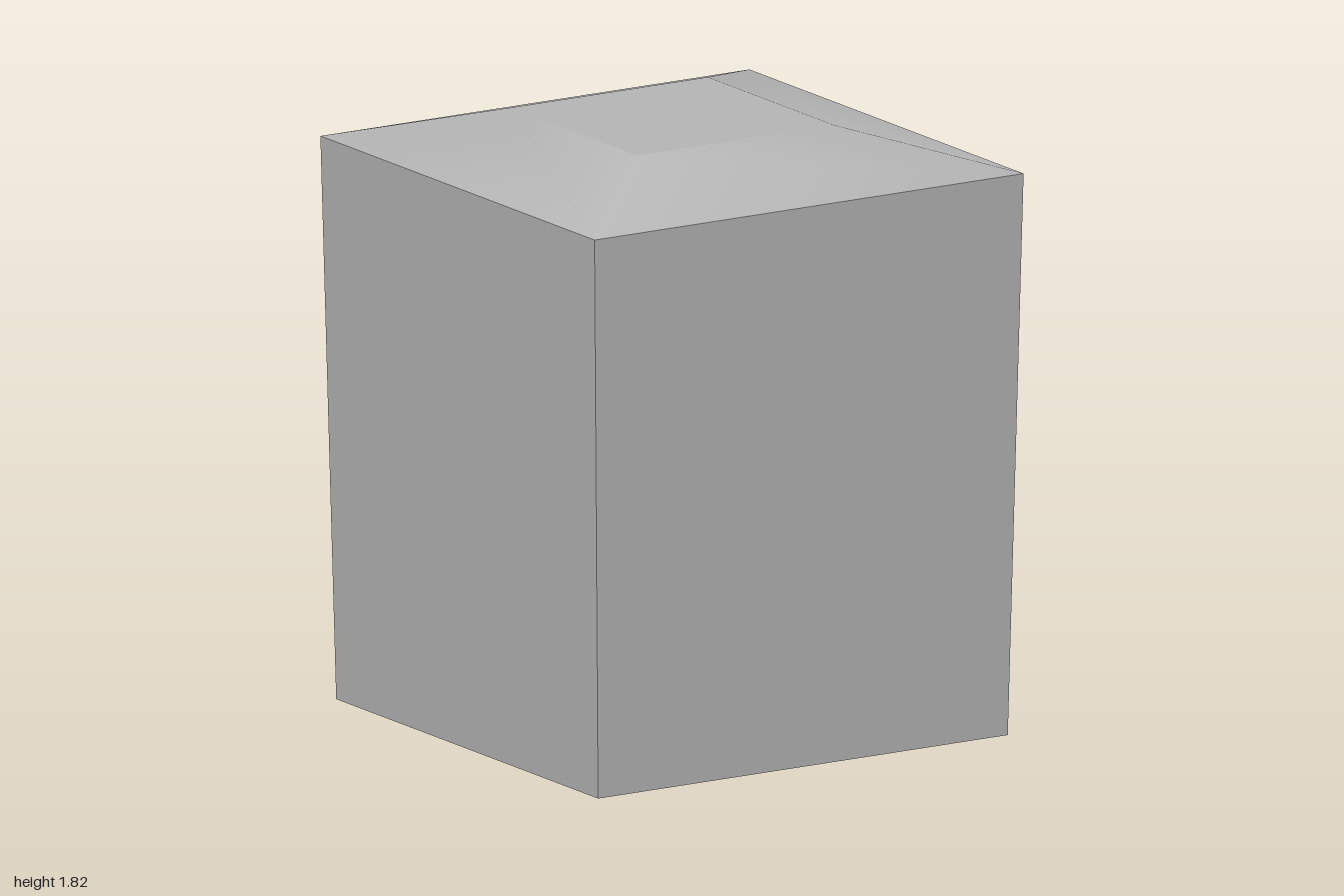
import * as THREE from 'three';

// Square block standing on a corner plan, with shallow sloped ends
export function createModel() {
  const model = new THREE.Group();
  const grey = new THREE.MeshStandardMaterial({ color: 0xb8b8b8 });
  grey.name = 'grey';

  // One four-sided band between two rings; soft corners or flat faces
  function band(name, r0, y0, r1, y1, soft) {
    const profile = [new THREE.Vector2(r0, y0), new THREE.Vector2(r1, y1)];
    let geometry = new THREE.LatheGeometry(profile, 4);
    if (!soft) {
      geometry = geometry.toNonIndexed();
      geometry.computeVertexNormals();
    }
    const mesh = new THREE.Mesh(geometry, grey);
    mesh.name = name;
    model.add(mesh);
  }

  // Flat square closing an end
  function cap(name, y, tilt) {
    const mesh = new THREE.Mesh(new THREE.CircleGeometry(0.46, 4), grey);
    mesh.rotation.x = tilt;
    mesh.position.y = y;
    mesh.name = name;
    model.add(mesh);
  }

  cap('bottomFace', 0, Math.PI / 2);
  band('bottomSlope', 0.46, 0, 0.955, 0.095, true);
  band('sideWalls', 0.955, 0.095, 1, 1.705, false);
  band('topSlope', 1, 1.705, 0.46, 1.815, true);
  cap('topFace', 1.815, -Math.PI / 2);

  return model;
}
